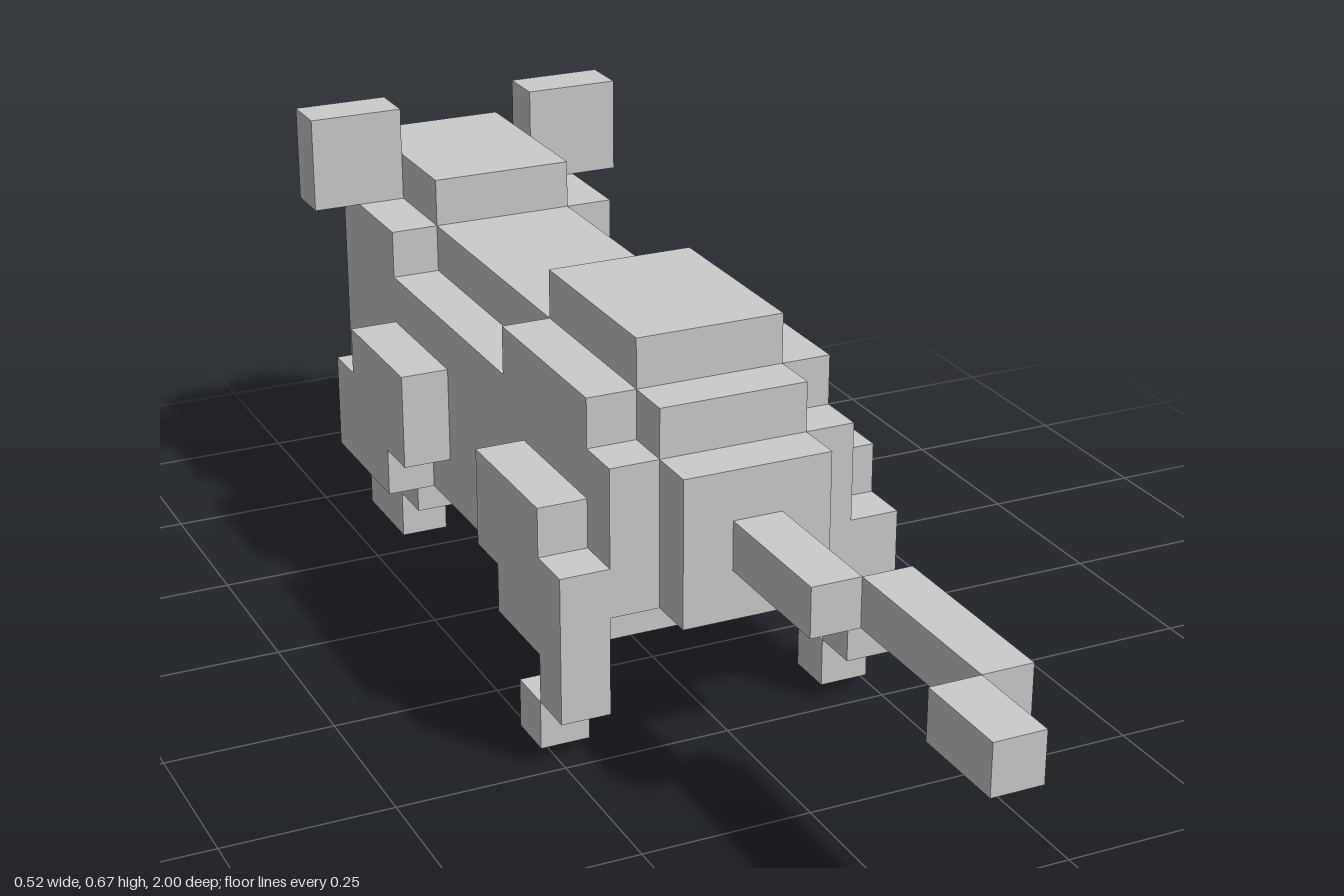
import * as THREE from 'three';

// One block of the model; 27 blocks along z make 2 units.
const U = 2 / 27;

export function createModel() {
  const model = new THREE.Group();
  const material = new THREE.MeshStandardMaterial({ color: 0xcccccc, flatShading: true });

  // Adds a named part from boxes given in blocks: [x0, x1, y0, y1, z0, z1].
  function part(name, ...boxes) {
    const group = new THREE.Group();
    group.name = name;
    for (const [x0, x1, y0, y1, z0, z1] of boxes) {
      const box = new THREE.Mesh(
        new THREE.BoxGeometry((x1 - x0) * U, (y1 - y0) * U, (z1 - z0) * U), material);
      box.name = name + 'Block';
      box.position.set(((x0 + x1) / 2 - 3.5) * U, ((y0 + y1) / 2) * U, ((z0 + z1) / 2 - 13.5) * U);
      group.add(box);
    }
    model.add(group);
  }

  // Swaps the sides of a box.
  const mirror = ([x0, x1, ...rest]) => [7 - x1, 7 - x0, ...rest];

  // Head, facing -z
  part('nose', [3, 4, 5, 6, 0, 1]);
  part('snout', [2, 5, 4, 7, 1, 2]);
  part('head', [2, 5, 3, 8, 2, 3], [2, 5, 7, 8, 3, 6], [1, 6, 3, 7, 3, 5]);

  // Body: belly, flanks, back with a notch along each shoulder, rump
  part('belly', [1, 6, 2, 3, 5, 16]);
  part('body', [1, 6, 3, 6, 5, 17]);
  part('back',
    [1, 6, 6, 7, 5, 6], [2, 5, 6, 7, 6, 17],
    [5, 6, 6, 7, 11, 16], [1, 2, 6, 7, 12, 16]);
  part('hump', [2, 5, 7, 8, 12, 16]);
  part('rump', [2, 5, 3, 6, 17, 18]);

  // Bent tail
  part('tail', [3, 4, 4, 5, 18, 21], [4, 5, 4, 5, 21, 25], [3, 4, 4, 5, 25, 27]);

  // Paired parts; the right shoulder reaches one block further back
  for (const side of ['left', 'right']) {
    const place = side === 'left' ? (b) => b : mirror;
    const reach = side === 'left' ? 0 : 1;
    part(side + 'Ear', place([5, 7, 7, 9, 3, 4]));
    part(side + 'ForeLeg', ...[
      [6, 7, 4, 5, 6, 8 + reach], [6, 7, 3, 4, 5, 8 + reach],
      [6, 7, 2, 3, 5, 7 + reach], [5, 6, 1, 2, 5, 7]].map(place));
    part(side + 'ForePaw', place([5, 6, 0, 1, 4, 6]));
    part(side + 'HindLeg', ...[
      [6, 7, 3, 5, 13, 16], [6, 7, 2, 3, 14, 16], [6, 7, 1, 4, 16, 17]].map(place));
    part(side + 'HindPaw', place([6, 7, 0, 1, 15, 16]));
  }
  return model;
}
